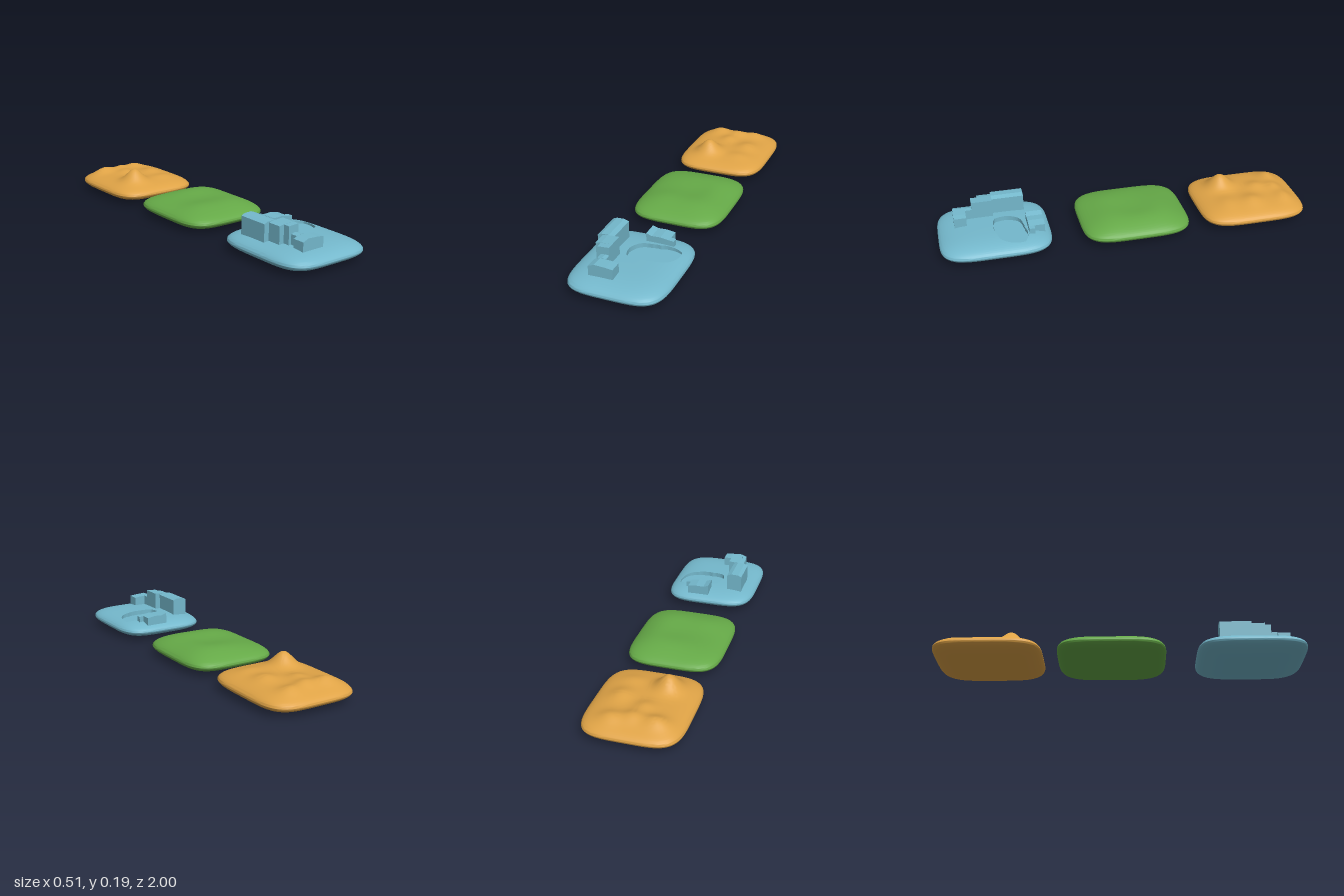
import * as THREE from 'three';
import { toCreasedNormals } from 'three/addons/utils/BufferGeometryUtils.js';

const HALF_X = 0.253, HALF_Z = 0.293, MID = 0.05, SEG = 96, RINGS = 40;

// Rounded-rectangle radius: 0 in the centre, 1 on the rim
const rimRadius = (x, z) =>
  (Math.abs(x / HALF_X) ** 4.4 + Math.abs(z / HALF_Z) ** 4.4) ** (1 / 4.4);

const thickness = (r) => MID * Math.max(0, 1 - r ** 3.7) ** 0.55;

// Top height including soft hills: [x, z, height, spreadX, spreadZ]
function topHeight(x, z, hills) {
  const r = Math.min(1, rimRadius(x, z));
  let y = MID + thickness(r);
  for (const [hx, hz, h, sx, sz] of hills) {
    const g = Math.exp(-(((x - hx) / sx) ** 2) - ((z - hz) / sz) ** 2);
    y += h * g * (1 - r ** 6);
  }
  return y;
}

// Pillow-shaped slab built from rings, with an optional sunken basin
function islandGeometry(hills, basin) {
  const rows = [];
  const ring = (fn) => {
    const row = [];
    for (let i = 0; i < SEG; i++) row.push(fn((i / SEG) * Math.PI * 2, i));
    rows.push(row);
  };
  const rim = (a) => {
    const c = Math.cos(a), s = Math.sin(a), k = 1 / rimRadius(c, s);
    return [c * k, s * k];
  };
  const inner = (a, i) => {
    if (!basin) return [0, 0];
    const n = basin.radii.length, f = (i / SEG) * n, j = Math.floor(f);
    const r = THREE.MathUtils.lerp(basin.radii[j % n], basin.radii[(j + 1) % n], f - j);
    return [basin.x + Math.cos(a) * r, basin.z + Math.sin(a) * r];
  };
  if (basin) {
    // basin floor and wall foot
    ring(() => [basin.x, basin.floor, basin.z]);
    ring((a, i) => { const [x, z] = inner(a, i); return [x, basin.floor, z]; });
  }
  // upper skin, from the middle out to the rim
  for (let j = 0; j <= RINGS; j++) {
    const s = Math.sin((j / RINGS) * Math.PI / 2);
    ring((a, i) => {
      const [px, pz] = inner(a, i), [rx, rz] = rim(a);
      const x = px + (rx - px) * s, z = pz + (rz - pz) * s;
      return [x, j === RINGS ? MID : topHeight(x, z, hills), z];
    });
  }
  // underside, from the rim back to the middle
  for (let j = RINGS - 1; j >= 0; j--) {
    const s = Math.sin((j / RINGS) * Math.PI / 2);
    ring((a) => { const [x, z] = rim(a); return [x * s, MID - thickness(s), z * s]; });
  }
  const index = [];
  for (let j = 0; j < rows.length - 1; j++) {
    for (let i = 0; i < SEG; i++) {
      const k = (i + 1) % SEG;
      const a = j * SEG + i, b = j * SEG + k, c = a + SEG, d = b + SEG;
      index.push(a, b, d, a, d, c);
    }
  }
  // drop collapsed triangles at the poles
  const clean = [], flat = rows.flat();
  for (let t = 0; t < index.length; t += 3) {
    const [p, q, r] = [0, 1, 2].map((o) => flat[index[t + o]].map((v) => v.toFixed(7)).join());
    if (p !== q && q !== r && p !== r) clean.push(index[t], index[t + 1], index[t + 2]);
  }
  const geo = new THREE.BufferGeometry();
  geo.setAttribute('position', new THREE.Float32BufferAttribute(flat.flat(), 3));
  geo.setIndex(clean);
  return toCreasedNormals(geo, 0.8);
}

// Building block: roof profile in x/y, extruded from z0 to z1
function block(name, roof, z0, z1, material) {
  const base = 0.07, shape = new THREE.Shape();
  shape.moveTo(roof[0][0], base);
  shape.lineTo(roof[roof.length - 1][0], base);
  for (const [x, y] of [...roof].reverse()) shape.lineTo(x, y);
  shape.closePath();
  const geo = new THREE.ExtrudeGeometry(shape, { depth: z1 - z0, bevelEnabled: false });
  geo.translate(0, 0, z0);
  const mesh = new THREE.Mesh(geo, material);
  mesh.name = name;
  return mesh;
}

export function createModel() {
  const model = new THREE.Group();
  model.name = 'terrainTiles';
  const paint = (color) => new THREE.MeshStandardMaterial({ color });
  const blue = paint(0x74b8cc), green = paint(0x65a947), orange = paint(0xdfa346);

  const addIsland = (name, z, material, hills, basin) => {
    const group = new THREE.Group();
    group.name = name;
    group.position.z = z;
    const slab = new THREE.Mesh(islandGeometry(hills, basin), material);
    slab.name = name + 'Slab';
    group.add(slab);
    model.add(group);
  };

  // Hilly tile at the back
  addIsland('hillTile', -0.707, orange, [
    [-0.09, 0.125, 0.071, 0.062, 0.065],
    [-0.12, -0.175, 0.03, 0.07, 0.05],
    [0.0, -0.165, 0.022, 0.05, 0.05],
    [0.1, -0.19, 0.022, 0.06, 0.05],
    [-0.03, -0.07, 0.016, 0.05, 0.05],
    [0.11, 0.0, 0.018, 0.06, 0.06],
    [0.1, 0.14, 0.01, 0.07, 0.05],
  ]);

  // Gently rolling tile in the middle
  addIsland('meadowTile', -0.043, green, [
    [0.08, 0.14, 0.012, 0.14, 0.1],
    [-0.1, 0.12, 0.009, 0.1, 0.09],
    [0.05, -0.15, 0.014, 0.16, 0.1],
    [0.14, -0.02, 0.009, 0.08, 0.12],
  ]);

  // Village tile at the front, with a sunken pond bed
  addIsland('villageTile', 0.707, blue, [], {
    x: 0.08, z: 0.63 - 0.707, floor: 0.075,
    radii: [0.115, 0.1, 0.08, 0.08, 0.09, 0.135, 0.13, 0.115, 0.085, 0.078, 0.1, 0.135],
  });

  // Buildings on the village tile
  const village = new THREE.Group();
  village.name = 'buildings';
  village.add(
    block('tallHouse', [[-0.185, 0.182], [-0.165, 0.191], [-0.125, 0.193], [-0.1, 0.184]], 0.53, 0.70, blue),
    block('middleHouse', [[-0.157, 0.186], [-0.13, 0.191], [-0.07, 0.194]], 0.70, 0.775, blue),
    block('middleHouseFront', [[-0.13, 0.19], [-0.07, 0.194]], 0.775, 0.81, blue),
    block('linkHouse', [[-0.115, 0.15], [-0.09, 0.155], [-0.07, 0.152]], 0.81, 0.845, blue),
    block('lowHouse', [[-0.132, 0.14], [-0.1, 0.153], [-0.04, 0.15], [-0.005, 0.146]], 0.845, 0.91, blue),
    block('backHouse', [[-0.005, 0.139], [0.025, 0.129], [0.07, 0.131], [0.117, 0.124]], 0.45, 0.535, blue),
    block('backHousePorch', [[0.117, 0.124], [0.142, 0.122]], 0.505, 0.535, blue),
  );
  model.add(village);
  return model;
}
